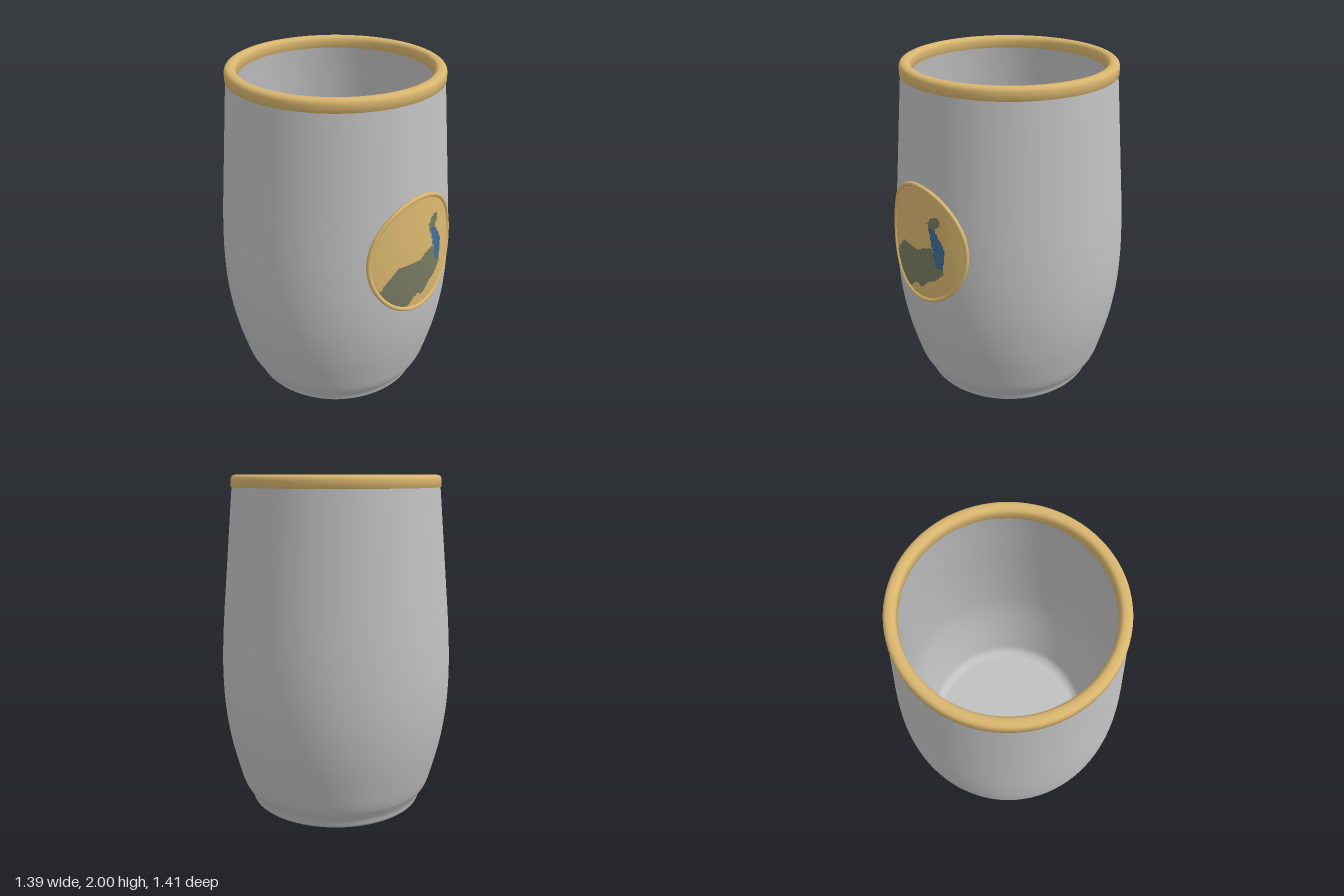
import * as THREE from 'three';

const mat = (name, color, side = THREE.FrontSide) => {
  const m = new THREE.MeshStandardMaterial({ color, side });
  m.name = name;
  return m;
};
const v2 = ([x, y]) => new THREE.Vector2(x, y);
const smooth = (pts, n) => new THREE.SplineCurve(pts.map(v2)).getPoints(n);

// Outer wall of the cup as [radius, height], from foot to rim
const OUTER = smooth([
  [0.505, 0], [0.525, 0.015], [0.535, 0.045], [0.546, 0.068], [0.566, 0.1], [0.582, 0.13],
  [0.605, 0.2], [0.655, 0.4], [0.685, 0.6], [0.695, 0.8], [0.69, 1.0], [0.676, 1.2],
  [0.658, 1.4], [0.64, 1.6], [0.622, 1.8], [0.609, 1.94],
], 90);
const INNER = smooth([
  [0.552, 1.94], [0.567, 1.8], [0.585, 1.6], [0.621, 1.2], [0.64, 0.8], [0.63, 0.6],
  [0.6, 0.4], [0.565, 0.22], [0.545, 0.14], [0.51, 0.105], [0.48, 0.1],
], 50);

// Cup radius at a height
function radiusAt(y) {
  const i = Math.max(1, OUTER.findIndex((p) => p.y >= y));
  const a = OUTER[i - 1], b = OUTER[i];
  return a.x + ((b.x - a.x) * (y - a.y)) / (b.y - a.y);
}
// Depth of the curved front of the cup, raised by a small offset
const frontZ = (x, y, lift) => Math.sqrt((radiusAt(y) + lift) ** 2 - x * x);

// Outlines of the bird, in hundredths relative to the medallion centre
const BODY = [[-27, -16], [-24, -12], [-20, -8], [-16, -4], [0, -4], [4, -1], [11, 1], [13, -3],
  [14, -9], [18.5, -10], [19.5, -12], [17, -15], [14, -18], [7, -22], [3, -26], [1, -27],
  [-1, -25], [-4, -26], [-8, -30], [-10, -31], [-16, -29], [-21, -25], [-25.5, -20]];
const HEAD = [[8, 12], [7.5, 15], [9.5, 18], [13, 20], [16, 19], [16.5, 16], [15, 14.5],
  [13, 13], [13.5, 11], [10, 10]];
const NECK = [[8, 11.5], [10, 13], [13.5, 11], [17, 7], [19.5, 2], [20, -4], [18.5, -9.5],
  [14, -9.5], [12.5, -1], [10.5, 4], [10, 8]];

function inside(poly, x, y) {
  let hit = false;
  for (let i = 0, j = poly.length - 1; i < poly.length; j = i++) {
    const [xi, yi] = poly[i], [xj, yj] = poly[j];
    if ((yi > y) !== (yj > y) && x < ((xj - xi) * (y - yi)) / (yj - yi) + xi) hit = !hit;
  }
  return hit;
}

const CY = 1.072, RX = 0.324, RY = 0.34;

// Curved plate on a fine grid, each cell coloured by the bird outlines
function plateGeometry() {
  const n = 80, step = 0.009, half = (n * step) / 2;
  const pos = [], cells = [[], [], []];
  for (let r = 0; r <= n; r++) {
    for (let c = 0; c <= n; c++) {
      const x = c * step - half, y = r * step - half;
      pos.push(x, CY + y, frontZ(x, CY + y, 0.008));
    }
  }
  for (let r = 0; r < n; r++) {
    for (let c = 0; c < n; c++) {
      const x = (c + 0.5) * step - half, y = (r + 0.5) * step - half;
      if ((x / RX) ** 2 + (y / RY) ** 2 > 1) continue;
      const px = x * 100, py = y * 100;
      const k = inside(NECK, px, py) ? 2 : inside(BODY, px, py) || inside(HEAD, px, py) ? 1 : 0;
      const a = r * (n + 1) + c, d = a + n + 1;
      cells[k].push(a, a + 1, d + 1, a, d + 1, d);
    }
  }
  const g = new THREE.BufferGeometry();
  g.setAttribute('position', new THREE.Float32BufferAttribute(pos, 3));
  g.setIndex(cells.flat());
  let start = 0;
  cells.forEach((list, k) => {
    g.addGroup(start, list.length, k);
    start += list.length;
  });
  g.computeVertexNormals();
  return g;
}

export function createModel() {
  const steel = mat('brushed grey', 0xc0c0c0);
  const gold = mat('gold', 0xd8b56e);
  const olive = mat('olive', 0x767960);
  const blue = mat('blue', 0x416c94);

  const model = new THREE.Group();
  model.name = 'cup';
  const add = (name, geometry, material) => {
    const mesh = new THREE.Mesh(geometry, material);
    mesh.name = name;
    model.add(mesh);
    return mesh;
  };

  // Cup walls, underside and inner floor
  add('outerWall', new THREE.LatheGeometry(OUTER, 96), steel);
  add('innerWall', new THREE.LatheGeometry(INNER, 96), steel);
  add('underside', new THREE.CircleGeometry(0.505, 96).rotateX(Math.PI / 2), steel);
  add('innerFloor', new THREE.CircleGeometry(0.481, 96).rotateX(-Math.PI / 2).translate(0, 0.1, 0), steel);

  // Rounded gold rim
  const rim = [[0.6, 1.93], [0.615, 1.931]];
  for (let i = 0; i <= 16; i++) {
    const a = (i / 16) * Math.PI, c = Math.cos(a);
    rim.push([0.5815 + 0.0335 * Math.sign(c) * Math.abs(c) ** 0.8, 1.965 + 0.035 * Math.sin(a) ** 0.8]);
  }
  rim.push([0.548, 1.931], [0.56, 1.93]);
  add('rim', new THREE.LatheGeometry(rim.map(v2), 96), gold);

  // Medallion: painted plate and raised border wrapped on the wall
  add('medallionPlate', plateGeometry(), [gold, olive, blue]);
  const loop = [];
  for (let i = 0; i < 64; i++) {
    const a = (i / 64) * Math.PI * 2;
    const x = RX * Math.cos(a), y = CY + RY * Math.sin(a);
    loop.push(new THREE.Vector3(x, y, frontZ(x, y, 0.006)));
  }
  add('medallionBorder', new THREE.TubeGeometry(new THREE.CatmullRomCurve3(loop, true), 128, 0.013, 10, true), gold);

  model.children.forEach((m) => { m.position.z = -0.008; });
  return model;
}
